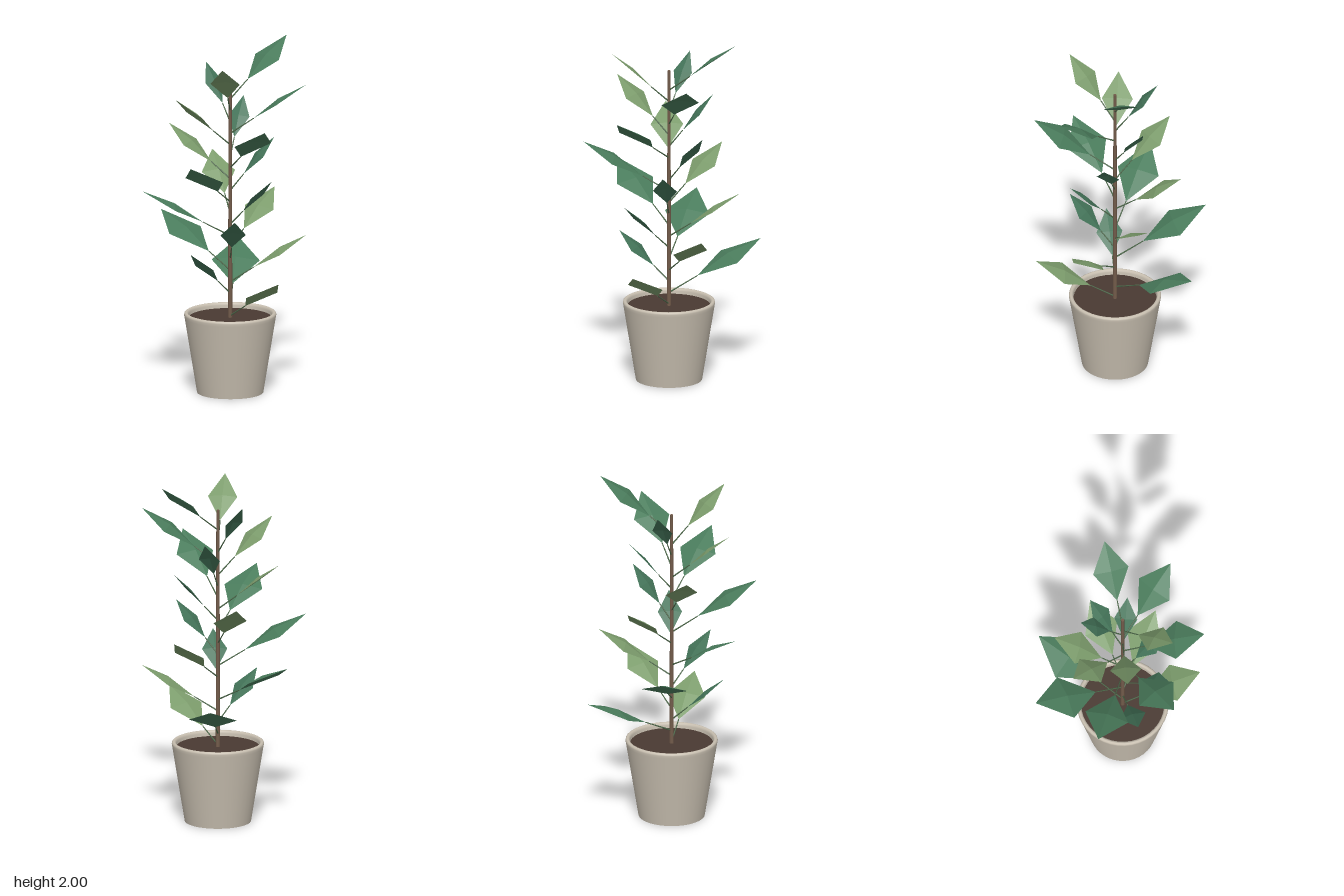
import * as THREE from 'three';

const material = (color, extra = {}) => new THREE.MeshStandardMaterial({ color, ...extra });

function part(name, geometry, mat) {
  const mesh = new THREE.Mesh(geometry, mat);
  mesh.name = name;
  return mesh;
}

// Thin rod between two points
function rod(name, a, b, r0, r1, sides, mat) {
  const dir = b.clone().sub(a);
  const mesh = part(name, new THREE.CylinderGeometry(r1, r0, dir.length(), sides), mat);
  mesh.position.copy(a).add(b).multiplyScalar(0.5);
  mesh.quaternion.setFromUnitVectors(new THREE.Vector3(0, 1, 0), dir.normalize());
  return mesh;
}

// Four-facet diamond blade from base to tip, with a slightly raised centre
function bladeGeometry(base, tip, width) {
  const mid = base.clone().add(tip).multiplyScalar(0.5);
  const along = tip.clone().sub(base).normalize();
  const centre = mid.clone().add(new THREE.Vector3(-along.y, along.x, 0).multiplyScalar(width * 0.09));
  const left = mid.clone().setZ(width / 2);
  const right = mid.clone().setZ(-width / 2);
  const corners = [base, left, tip, right];
  const points = corners.flatMap((p, i) => [centre, p, corners[(i + 1) % 4]]);
  const geometry = new THREE.BufferGeometry().setFromPoints(points);
  geometry.computeVertexNormals();
  return geometry;
}

export function createModel() {
  const model = new THREE.Group();
  model.name = 'pottedPlant';
  const plant = new THREE.Group();
  plant.name = 'plant';
  plant.position.set(0.035, 0, -0.02);
  model.add(plant);

  // Tapered pot wall with a rounded rim
  const wall = [
    [0.187, 0], [0.257, 0.432], [0.26, 0.447], [0.258, 0.456], [0.251, 0.461],
    [0.243, 0.46], [0.237, 0.454], [0.235, 0.445], [0.231, 0.41],
  ].map(([r, y]) => new THREE.Vector2(r, y));
  plant.add(part('pot', new THREE.LatheGeometry(wall, 40),
    material(0xc8bfb0, { side: THREE.DoubleSide })));
  const bottom = part('potBottom', new THREE.CircleGeometry(0.187, 40), material(0xc8bfb0));
  bottom.rotation.x = Math.PI / 2;
  plant.add(bottom);

  // Soil
  const soil = part('soil', new THREE.CylinderGeometry(0.234, 0.232, 0.02, 40), material(0x4a3a32));
  soil.position.y = 0.42;
  plant.add(soil);

  // Upright stem
  plant.add(rod('stem', new THREE.Vector3(0, 0.41, 0), new THREE.Vector3(0, 1.805, 0),
    0.0125, 0.009, 8, material(0x735c4b)));

  // Leaves on a golden-angle spiral, cycling three sizes and shrinking upwards
  const kinds = [
    { reach: 0.445, color: 0x7c9c6c },
    { reach: 0.557, color: 0x4a7c5c },
    { reach: 0.31, color: 0x437358 },
  ].map(k => ({
    ...k, mat: material(k.color, { flatShading: true, side: THREE.DoubleSide }),
  }));
  const stalkMat = material(0x4f6b4c);
  for (let i = 0; i < 20; i++) {
    const kind = kinds[i % 3];
    const reach = kind.reach * (1 - 0.0135 * i);
    const origin = new THREE.Vector3(0, 0.44 + 0.0658 * i, 0);
    const tip = new THREE.Vector3(reach, origin.y + 0.26 + 0.0026 * i, 0);
    const base = origin.clone().lerp(tip, 0.31);
    const leaf = new THREE.Group();
    leaf.name = 'leaf';
    leaf.rotation.y = THREE.MathUtils.degToRad(137.5 * i);
    leaf.add(
      rod('leafStalk', origin, base, 0.0045, 0.003, 5, stalkMat),
      part('leafBlade', bladeGeometry(base, tip, reach * 0.495), kind.mat),
    );
    plant.add(leaf);
  }
  return model;
}
